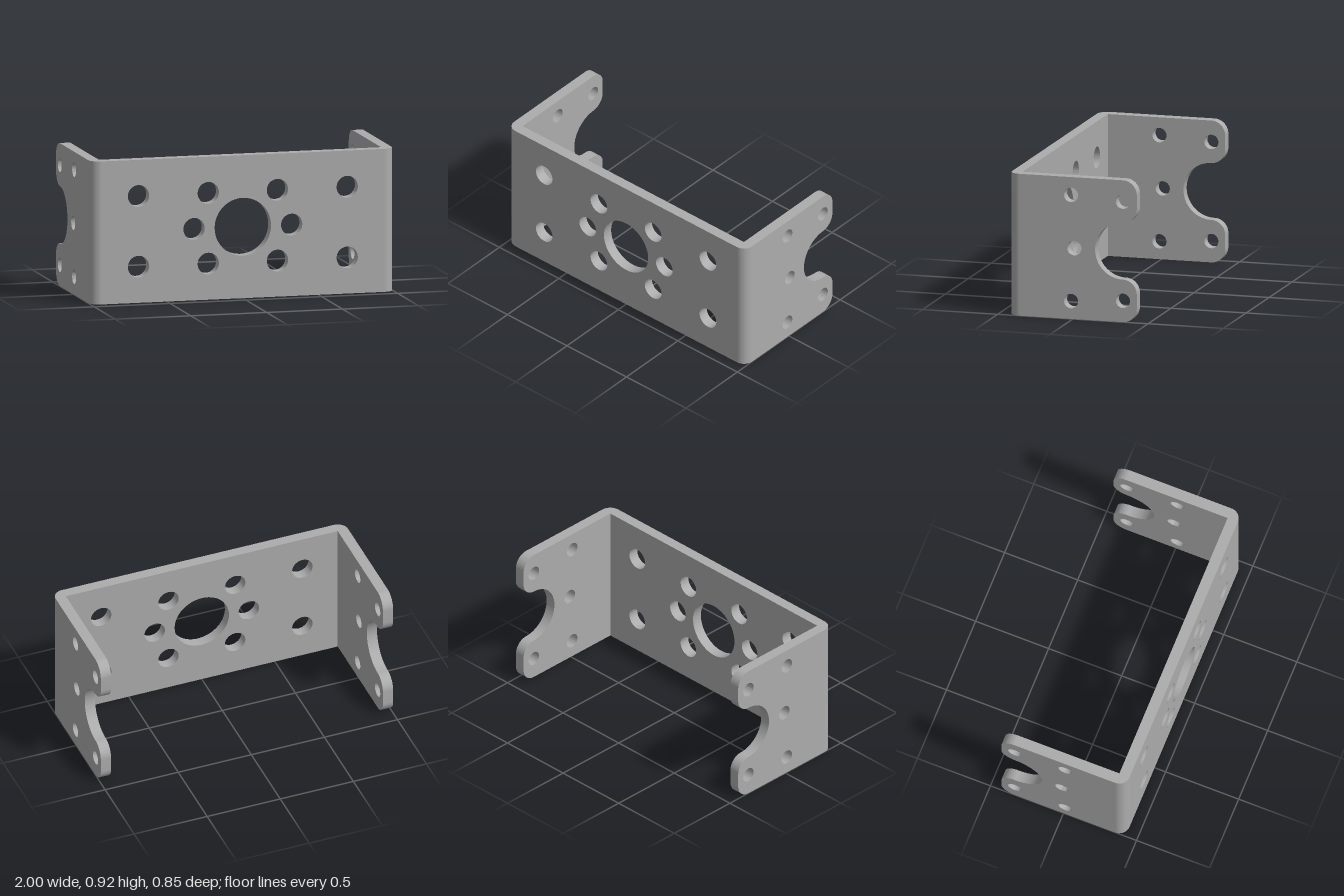
import * as THREE from 'three';
import { toCreasedNormals } from 'three/addons/utils/BufferGeometryUtils.js';

const H = 0.922;      // height
const T = 0.07;       // sheet thickness and outer bend radius
const D = 0.425;      // half depth
const MID = H / 2;

const steel = new THREE.MeshStandardMaterial({ color: 0xacacac });
steel.name = 'grey steel';

function drill(shape, x, y, r) {
  const hole = new THREE.Path();
  hole.absarc(x, y, r, 0, Math.PI * 2, true);
  shape.holes.push(hole);
}

function plate(shape) {
  const geo = new THREE.ExtrudeGeometry(shape, { depth: T, bevelEnabled: false, curveSegments: 24 });
  return toCreasedNormals(geo, Math.PI / 6);
}

// Wide front plate with a central bore and ten screw holes
function frontGeometry() {
  const w = 1 - T;
  const s = new THREE.Shape();
  s.moveTo(-w, 0).lineTo(w, 0).lineTo(w, H).lineTo(-w, H).closePath();
  drill(s, 0, MID, 0.186);
  for (const side of [-1, 1]) {
    drill(s, side * 0.322, MID, 0.07);
    for (const x of [0.228, 0.688])
      for (const dy of [-0.228, 0.228]) drill(s, side * x, MID + dy, 0.07);
  }
  return plate(s).translate(0, 0, D - T);
}

// Side flange, drawn with u pointing to the back: two rounded lugs around a scoop
function flangeGeometry() {
  const q = Math.PI / 2, r = 0.092, u = D - r, scoop = 0.185;
  const s = new THREE.Shape();
  s.moveTo(T - D, 0).lineTo(u, 0);
  s.absarc(u, r, r, -q, 0, false);
  s.absarc(u, MID - scoop - r, r, 0, q, false);
  s.absarc(u, MID, scoop, -q, -3 * q, true);
  s.absarc(u, MID + scoop + r, r, -q, 0, false);
  s.absarc(u, H - r, r, 0, q, false);
  s.lineTo(T - D, H).closePath();
  drill(s, 0.01, MID, 0.047);
  for (const side of [-1, 1]) {
    drill(s, -0.012, MID + side * 0.345, 0.047);
    drill(s, u, MID + side * 0.322, 0.047);
  }
  return plate(s).rotateY(q);
}

export function createModel() {
  const model = new THREE.Group();
  model.name = 'mountingBracket';
  const add = (name, geo) => {
    const mesh = new THREE.Mesh(geo, steel);
    mesh.name = name;
    model.add(mesh);
    return mesh;
  };

  add('frontPlate', frontGeometry());

  const flange = flangeGeometry();
  for (const [name, side] of [['left', 1], ['right', -1]]) {
    add(name + 'Flange', flange).position.x = side > 0 ? 1 - T : -1;
    // Rounded outer bend joining flange and front plate
    const start = side > 0 ? 0 : -Math.PI / 2;
    const bend = new THREE.CylinderGeometry(T, T, H, 12, 1, false, start, Math.PI / 2);
    add(name + 'Bend', bend).position.set(side * (1 - T), MID, D - T);
  }
  return model;
}
